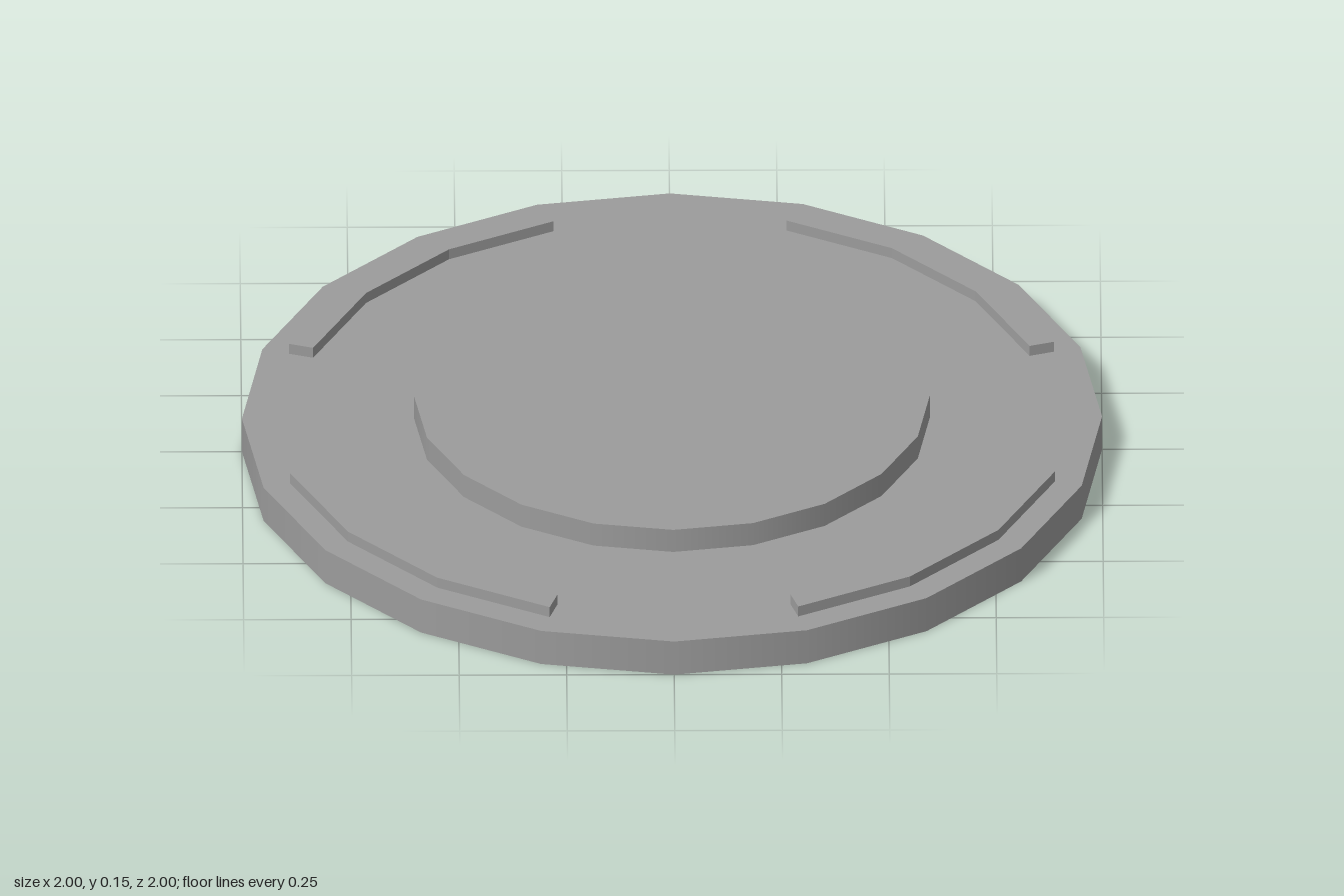
import * as THREE from 'three';

const SIDES = 20;
const BASE_TOP = 0.09;

export function createModel() {
  const model = new THREE.Group();
  model.name = 'roundPlate';
  const grey = new THREE.MeshStandardMaterial({ color: 0x9c9c9c });
  grey.name = 'mid grey';

  const add = (name, geometry, y) => {
    const mesh = new THREE.Mesh(geometry, grey);
    mesh.name = name;
    mesh.position.y = y;
    model.add(mesh);
    return mesh;
  };

  // Wide base disc and raised centre disc
  add('baseDisc', new THREE.CylinderGeometry(1, 1, BASE_TOP, SIDES), BASE_TOP / 2);
  add('centreDisc', new THREE.CylinderGeometry(0.6, 0.6, 0.06, SIDES), BASE_TOP + 0.03);

  // Curved rim bar: three straight segments from 18 to 72 degrees
  const arc = (radius) => [1, 2, 3, 4].map((i) => {
    const a = (i * Math.PI * 2) / SIDES;
    return new THREE.Vector2(radius * Math.cos(a), radius * Math.sin(a));
  });
  const outline = new THREE.Shape([...arc(0.935), ...arc(0.876).reverse()]);
  const bar = new THREE.ExtrudeGeometry(outline, { depth: 0.027, bevelEnabled: false });
  bar.rotateX(-Math.PI / 2);

  // One bar in each quarter
  for (let i = 0; i < 4; i++) {
    add(`rimBar${i + 1}`, bar, BASE_TOP).rotation.y = (i * Math.PI) / 2;
  }
  return model;
}
